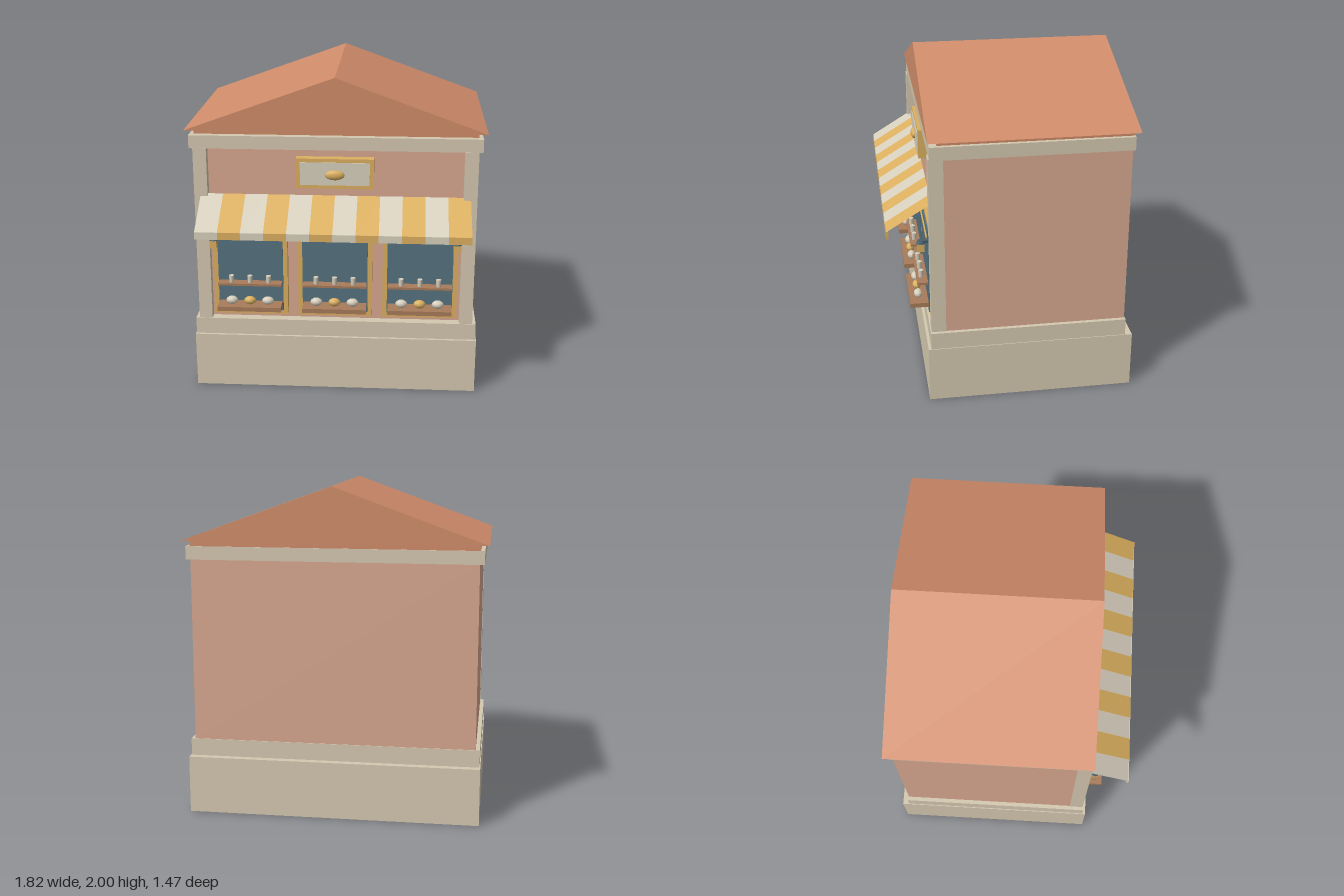
import * as THREE from 'three';

const mat = (name, color, side = THREE.FrontSide) => {
  const m = new THREE.MeshStandardMaterial({ color, side });
  m.name = name;
  return m;
};

export function createModel() {
  const stone = mat('stone', 0xd4c8b0);
  const wall = mat('wall plaster', 0xd8a890);
  const tile = mat('roof tile', 0xd08c6a);
  const gold = mat('gold', 0xdcb060, THREE.DoubleSide);
  const cream = mat('cream', 0xd8d0be, THREE.DoubleSide);
  const glass = mat('glass', 0x56727f);
  const wood = mat('shelf wood', 0xa87c5a);
  const dark = mat('dark metal', 0x47606e);

  const model = new THREE.Group();
  model.name = 'shop';

  const add = (parent, name, geometry, material, x = 0, y = 0, z = 0) => {
    const mesh = new THREE.Mesh(geometry, material);
    mesh.name = name;
    mesh.position.set(x, y, z);
    parent.add(mesh);
    return mesh;
  };
  // Box given by its lower and upper limits on each axis
  const box = (parent, name, material, x0, x1, y0, y1, z0, z1) =>
    add(parent, name, new THREE.BoxGeometry(x1 - x0, y1 - y0, z1 - z0), material,
      (x0 + x1) / 2, (y0 + y1) / 2, (z0 + z1) / 2);
  const group = (name, x = 0) => {
    const g = new THREE.Group();
    g.name = name;
    g.position.x = x;
    model.add(g);
    return g;
  };

  // Building body
  box(model, 'base', stone, -0.885, 0.885, 0, 0.35, -0.735, 0.515);
  box(model, 'plinth', stone, -0.88, 0.88, 0.35, 0.455, -0.692, 0.498);
  box(model, 'walls', wall, -0.855, 0.855, 0.455, 1.57, -0.687, 0.44);
  box(model, 'cornice', stone, -0.882, 0.882, 1.56, 1.64, -0.695, 0.485);
  box(model, 'roofBand', tile, -0.857, 0.857, 1.64, 1.675, -0.69, 0.44);
  for (const s of [-1, 1]) {
    const x = s * 0.817;
    box(model, 'pilaster', stone, x - 0.041, x + 0.041, 0.455, 1.56, 0.405, 0.492);
  }

  // Gable roof
  const gable = new THREE.Shape([
    new THREE.Vector2(-0.908, 1.672), new THREE.Vector2(0.908, 1.672), new THREE.Vector2(0, 2),
  ]);
  add(model, 'roof', new THREE.ExtrudeGeometry(gable, { depth: 1.215, bevelEnabled: false }),
    tile, 0, 0, -0.72);

  // Framed sign with an oval ornament
  const sign = group('sign');
  box(sign, 'signFrame', gold, -0.235, 0.235, 1.325, 1.51, 0.44, 0.497);
  box(sign, 'signPanel', cream, -0.21, 0.21, 1.347, 1.488, 0.495, 0.502);
  add(sign, 'signOrnament', new THREE.SphereGeometry(1, 12, 8), gold, 0, 1.412, 0.505)
    .scale.set(0.06, 0.031, 0.02);

  // Three display windows with shelves of goods
  const bun = new THREE.SphereGeometry(0.035, 10, 6);
  const jar = new THREE.CylinderGeometry(0.016, 0.014, 0.046, 8);
  for (const x of [-0.525, 0, 0.525]) {
    const w = group('displayWindow', x);
    box(w, 'windowFrame', gold, -0.23, 0.23, 0.49, 1.09, 0.44, 0.487);
    box(w, 'windowGlass', glass, -0.202, 0.202, 0.52, 1.06, 0.487, 0.495);
    box(w, 'windowRail', gold, -0.19, 0.19, 1.007, 1.022, 0.495, 0.503);
    box(w, 'upperShelf', wood, -0.197, 0.197, 0.704, 0.718, 0.49, 0.56);
    box(w, 'lowerShelf', wood, -0.197, 0.197, 0.553, 0.581, 0.49, 0.606);
    for (const i of [-1, 0, 1]) {
      add(w, 'jar', jar, cream, i * 0.115, 0.741, 0.532);
      add(w, 'bun', bun, i === 0 ? gold : cream, i * 0.112, 0.607, 0.552)
        .scale.set(1.08, 0.75, 0.75);
    }
  }

  // Striped awning: thin sloping sheet with a hanging valance
  const awning = group('awning');
  const stripes = 12, step = 1.64 / stripes;
  const rise = 0.16, run = 0.262;
  for (let i = 0; i < stripes; i++) {
    const x0 = -0.82 + i * step, m = i % 2 ? gold : cream;
    const sheet = new THREE.PlaneGeometry(step, Math.hypot(rise, run));
    sheet.rotateX(-Math.atan2(run, rise));
    add(awning, 'awningStripe', sheet, m, x0 + step / 2, 1.115 + rise / 2, 0.735 - run / 2);
    box(awning, 'valanceStripe', m, x0, x0 + step, 1.07, 1.115, 0.724, 0.738);
  }

  // Wall lanterns on either side
  for (const s of [-1, 1]) {
    const l = group('lantern', s * 0.744);
    box(l, 'lanternArm', dark, -0.01, 0.01, 0.997, 1.013, 0.44, 0.54);
    add(l, 'lanternCap', new THREE.CylinderGeometry(0.02, 0.029, 0.018, 8), dark, 0, 1.004, 0.535);
    box(l, 'lanternLamp', gold, -0.021, 0.021, 0.945, 0.996, 0.514, 0.556);
  }

  return model;
}
